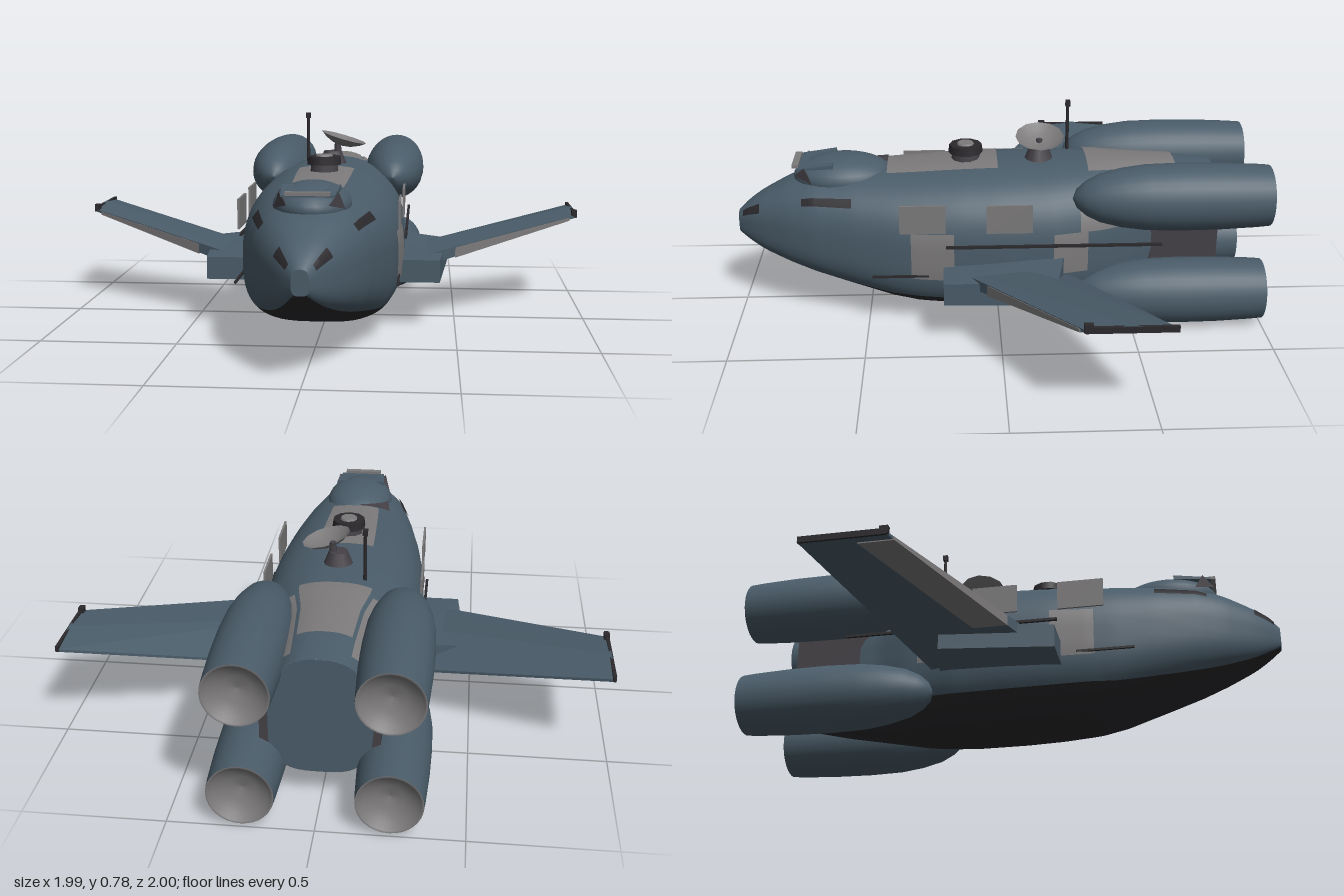
import * as THREE from 'three';
import { ConvexGeometry } from 'three/addons/geometries/ConvexGeometry.js';

const material = (name, color) => {
  const m = new THREE.MeshStandardMaterial({ color });
  m.name = name;
  return m;
};

// Hull stations: z, half width, bottom y, top y
const STATIONS = [
  [1, 0.03, 0.30, 0.385], [0.96, 0.065, 0.27, 0.425], [0.9, 0.105, 0.235, 0.465], [0.8, 0.16, 0.195, 0.515],
  [0.7, 0.2, 0.16, 0.545], [0.55, 0.24, 0.115, 0.56], [0.4, 0.272, 0.07, 0.567], [0.3, 0.286, 0.05, 0.573],
  [0.15, 0.3, 0.04, 0.582], [0, 0.305, 0.035, 0.587], [-0.2, 0.3, 0.033, 0.59], [-0.38, 0.265, 0.04, 0.59],
  [-0.5, 0.215, 0.055, 0.585], [-0.7, 0.19, 0.09, 0.575], [-0.83, 0.18, 0.12, 0.56],
];

function hullPoint(z, degrees, offset = 0) {
  let i = 0;
  while (i < STATIONS.length - 2 && z < STATIONS[i + 1][0]) i++;
  const a = STATIONS[i], b = STATIONS[i + 1];
  const t = (z - a[0]) / (b[0] - a[0]);
  const [w, lo, hi] = [1, 2, 3].map((k) => a[k] + (b[k] - a[k]) * t);
  const c = Math.cos(degrees * Math.PI / 180), s = Math.sin(degrees * Math.PI / 180);
  const e = 2 / (s < 0 ? 3.2 : 2.4); // flatter belly than roof
  return [
    Math.sign(c) * Math.abs(c) ** e * (w + offset),
    (lo + hi) / 2 + Math.sign(s) * Math.abs(s) ** e * ((hi - lo) / 2 + offset), z,
  ];
}

// Skin patch running back from zFront to zBack, between two angles given as functions of z
function hullPatch(zFront, zBack, from, to, offset, rows, cols) {
  const position = [], index = [];
  for (let i = 0; i <= rows; i++) {
    const z = zFront + (zBack - zFront) * i / rows;
    for (let j = 0; j <= cols; j++) {
      position.push(...hullPoint(z, from(z) + (to(z) - from(z)) * j / cols, offset));
      if (i < rows && j < cols) {
        const a = i * (cols + 1) + j, c = a + cols + 1;
        index.push(a, c, a + 1, a + 1, c, c + 1);
      }
    }
  }
  const g = new THREE.BufferGeometry();
  g.setAttribute('position', new THREE.Float32BufferAttribute(position, 3));
  g.setIndex(index);
  g.computeVertexNormals();
  return g;
}

export function createModel() {
  const model = new THREE.Group();
  model.name = 'shuttle';
  const blue = material('slate blue hull', 0x4a5c69);
  const grey = material('grey panel', 0x7c7a7b);
  const dark = material('dark grey trim', 0x454147);
  const black = material('black belly', 0x2b292c);

  const add = (name, geometry, mat, x = 0, y = 0, z = 0) => {
    const mesh = new THREE.Mesh(geometry, mat);
    mesh.name = name;
    mesh.position.set(x, y, z);
    model.add(mesh);
    return mesh;
  };
  const box = (name, mat, w, h, d, x, y, z) => add(name, new THREE.BoxGeometry(w, h, d), mat, x, y, z);
  const hull = (name, mat, points) =>
    add(name, new ConvexGeometry(points.map((p) => new THREE.Vector3(...p))), mat);
  const panel = (name, mat, zFront, zBack, from, to, offset = 0.006) =>
    add(name, hullPatch(zFront, zBack, () => from, () => to, offset, 14, 8), mat);

  // Fuselage: blue upper skin and black belly sharing one edge
  const edge = (z) => 37 + 23 * Math.min(1, Math.max(0, (z - 0.3) / 0.5));
  add('upperHull', hullPatch(1, -0.83, (z) => -edge(z), (z) => 180 + edge(z), 0, 61, 44), blue);
  add('bellyHull', hullPatch(1, -0.83, (z) => 180 + edge(z), (z) => 360 - edge(z), 0, 61, 16), black);
  [[1, 1, 'noseCap'], [-0.83, -1, 'rearBulkhead']].forEach(([z, dir, name]) => {
    const ring = [];
    for (let d = 0; d < 360; d += 7.5) ring.push(new THREE.Vector2(...hullPoint(z, d)));
    const cap = add(name, new THREE.ShapeGeometry(new THREE.Shape(ring)), blue, 0, 0, z);
    if (dir < 0) cap.rotation.y = Math.PI;
  });

  // Roof panels
  panel('roofPanelFront', grey, 0.42, 0, 74, 106);
  panel('roofPanelRear', grey, -0.34, -0.68, 66, 114);
  panel('canopyPatch', dark, 0.6, 0.42, 92, 116, 0.008);

  // Cockpit canopy with its overhanging brow
  const canopy = add('canopy', new THREE.SphereGeometry(1, 28, 16), blue, 0, 0.53, 0.59);
  canopy.scale.set(0.135, 0.08, 0.19);
  hull('canopyBrow', blue, [
    [-0.1, 0.6, 0.62], [0.1, 0.6, 0.62], [-0.09, 0.575, 0.76], [0.09, 0.575, 0.76],
    [-0.1, 0.585, 0.62], [0.1, 0.585, 0.62], [-0.09, 0.583, 0.76], [0.09, 0.583, 0.76],
  ]);
  box('browTrim', grey, 0.15, 0.012, 0.025, 0, 0.588, 0.765);

  // Dorsal turret
  add('turretBase', new THREE.CylinderGeometry(0.05, 0.055, 0.04, 10), dark, 0, 0.6, 0.12);
  add('turretRing', new THREE.CylinderGeometry(0.062, 0.066, 0.03, 10), black, 0, 0.628, 0.12);
  add('turretCap', new THREE.CylinderGeometry(0.03, 0.035, 0.01, 10), grey, 0, 0.645, 0.12);

  // Dish antenna, tilted towards the left
  add('dishPedestal', new THREE.CylinderGeometry(0.035, 0.055, 0.05, 12), dark, 0.01, 0.61, -0.16);
  add('dishStem', new THREE.CylinderGeometry(0.012, 0.016, 0.05, 8), dark, 0.03, 0.645, -0.16);
  const dishGrey = grey.clone();
  dishGrey.name = 'grey dish';
  dishGrey.side = THREE.DoubleSide;
  const dishProfile = [[0, 0], [0.04, 0.007], [0.07, 0.02], [0.092, 0.036]].map((p) => new THREE.Vector2(...p));
  const dish = add('dish', new THREE.LatheGeometry(dishProfile, 12), dishGrey, 0.045, 0.655, -0.16);
  dish.rotation.z = -0.28;

  // Radio mast
  add('mast', new THREE.CylinderGeometry(0.006, 0.007, 0.2, 8), black, -0.1, 0.67, -0.28);
  box('mastTip', black, 0.018, 0.022, 0.018, -0.1, 0.768, -0.28);

  // Engine profile as radius and distance behind the tip
  const nacelle = [[0, 0], [0.035, 0.015], [0.065, 0.05], [0.09, 0.1], [0.11, 0.18], [0.122, 0.27],
    [0.126, 0.4], [0.124, 0.55], [0.118, 0.68], [0.114, 0.73]].map((p) => new THREE.Vector2(...p));
  const nozzle = [[0.114, 0.73], [0.106, 0.73], [0.09, 0.71], [0.05, 0.69], [0, 0.68]]
    .map((p) => new THREE.Vector2(...p));

  for (const s of [1, -1]) {
    const side = s > 0 ? 'left' : 'right';
    // Mirrors a skin panel given in left-hand angles
    const sidePanel = (name, mat, zf, zb, a, b, o) =>
      (s > 0 ? panel(side + name, mat, zf, zb, a, b, o) : panel(side + name, mat, zf, zb, 180 - b, 180 - a, o));

    // Engines, upper and lower
    for (const [level, y] of [['Upper', 0.513], ['Lower', 0.128]]) {
      for (const [part, profile, mat] of [['Engine', nacelle, blue], ['Nozzle', nozzle, grey]]) {
        const g = new THREE.LatheGeometry(profile, 32).rotateX(-Math.PI / 2);
        add(side + level + part, g, mat, s * 0.247, y, -0.27);
      }
    }
    box(side + 'EngineBayPanel', dark, 0.03, 0.2, 0.35, s * 0.19, 0.325, -0.655);
    sidePanel('EngineStrip', grey, -0.4, -0.78, 50, 62);

    // Cockpit and nose windows
    sidePanel('CockpitWindow', black, 0.74, 0.55, 32, 42);
    sidePanel('NoseWindow', black, 0.98, 0.91, 26, 48);
    hull(side + 'BrowFin', dark, [
      [s * 0.07, 0.55, 0.77], [s * 0.1, 0.59, 0.73], [s * 0.12, 0.53, 0.7], [s * 0.08, 0.56, 0.72]]);

    // Side plates standing off the hull
    box(side + 'FrontPlate', grey, 0.008, 0.11, 0.17, s * 0.291, 0.455, 0.285);
    box(side + 'MidPlate', grey, 0.008, 0.11, 0.17, s * 0.299, 0.455, -0.035);
    sidePanel('Door', grey, 0.33, 0.17, -12, 14);
    sidePanel('RearPatch', grey, -0.2, -0.33, -8, 12);
    sidePanel('ShoulderPatch', grey, -0.3, -0.48, 12, 28);

    // Side rails
    box(side + 'Rail', black, 0.01, 0.01, 0.8, s * 0.311, 0.35, -0.2);
    box(side + 'LowerRail', black, 0.008, 0.008, 0.21, s * 0.289, 0.225, 0.37);

    // Wing root block
    hull(side + 'WingRoot', blue, [
      [0.24, 0.18, 0.21], [0.44, 0.18, 0.21], [0.24, 0.265, 0.21], [0.44, 0.265, 0.21],
      [0.24, 0.19, -0.25], [0.475, 0.19, -0.2], [0.24, 0.3, -0.25], [0.475, 0.28, -0.2],
    ].map(([x, y, z]) => [s * x, y, z]));

    // Swept wing: each station lies at x, from leading to trailing edge
    const along = (x, a, b) => a + (b - a) * (x - 0.3) / 0.69;
    const lead = (x) => along(x, 0.17, -0.24), trail = (x) => along(x, -0.28, -0.54);
    const low = (x) => along(x, 0.205, 0.362), high = (x) => along(x, 0.265, 0.382);
    const wing = [], strip = [];
    for (const x of [0.26, 0.99]) {
      wing.push([s * x, low(x), lead(x)], [s * x, high(x) - 0.01, lead(x)],
        [s * x, low(x), trail(x)], [s * x, low(x) + 0.01, trail(x)],
        [s * x, high(x) + 0.004, (lead(x) + trail(x)) / 2]);
    }
    hull(side + 'Wing', blue, wing);

    // Grey leading strip wrapped under the wing
    for (const x of [0.5, 0.965]) {
      strip.push([s * x, low(x) - 0.004, lead(x) + 0.004], [s * x, high(x) - 0.013, lead(x) + 0.004],
        [s * x, low(x) - 0.004, lead(x) - 0.12], [s * x, low(x) + 0.003, lead(x) - 0.12]);
    }
    hull(side + 'WingLeadingStrip', grey, strip);

    // Wing tip rail and lamp
    box(side + 'WingTipRail', black, 0.012, 0.022, 0.3, s * 0.988, 0.372, -0.39);
    box(side + 'WingTipLamp', black, 0.02, 0.03, 0.03, s * 0.985, 0.378, -0.25);
  }
  return model;
}
